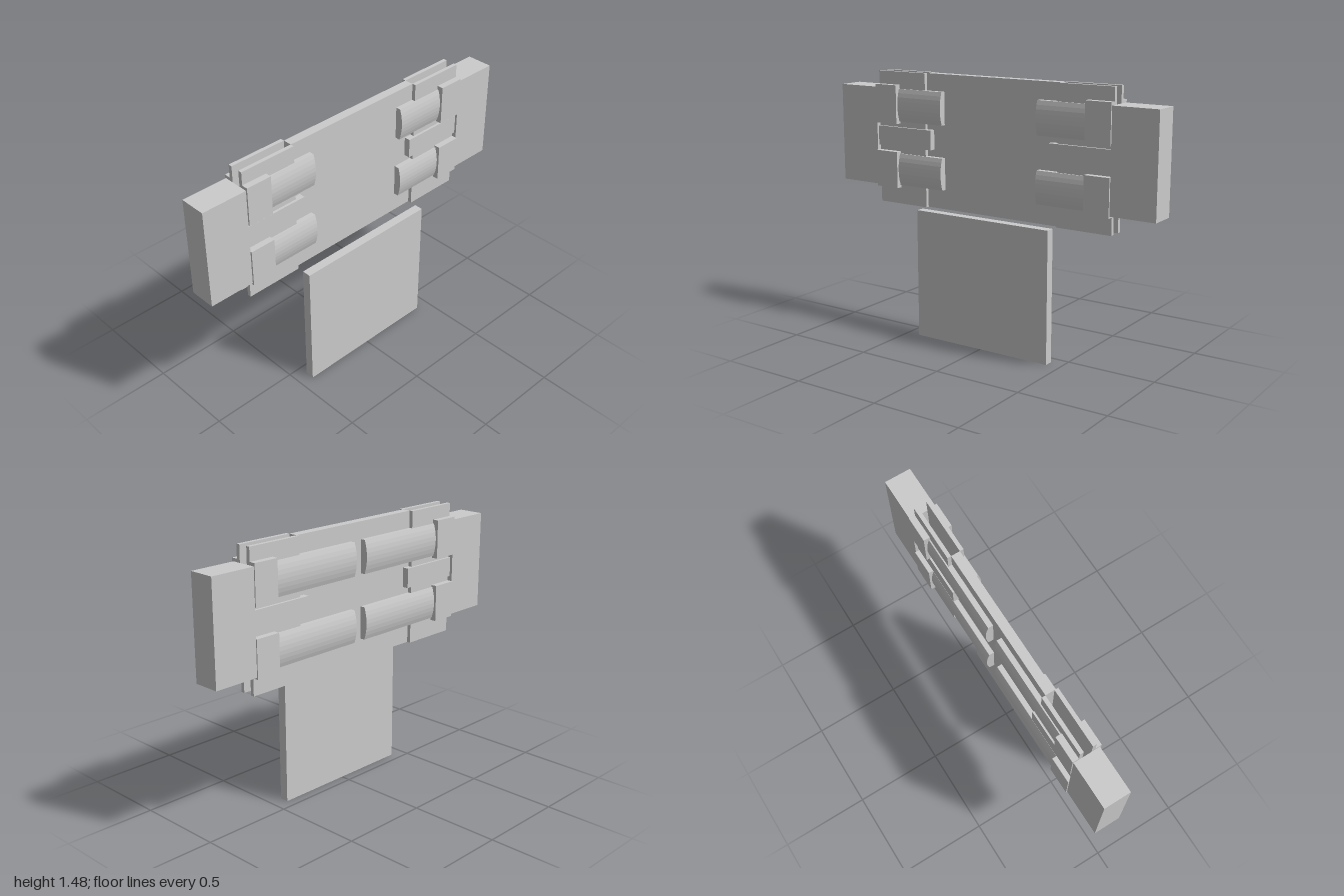
import * as THREE from 'three';

const MID = -0.025; // x of the centre plane of the plate assembly

export function createModel() {
  const model = new THREE.Group();
  const material = new THREE.MeshStandardMaterial({ color: 0xcccccc, flatShading: true });

  const add = (name, geometry) => {
    const mesh = new THREE.Mesh(geometry, material);
    mesh.name = name;
    model.add(mesh);
    return mesh;
  };

  // Box given by its limits along each axis
  const box = (name, x0, x1, y0, y1, z0, z1) => {
    const mesh = add(name, new THREE.BoxGeometry(Math.abs(x1 - x0), y1 - y0, Math.abs(z1 - z0)));
    mesh.position.set((x0 + x1) / 2, (y0 + y1) / 2, (z0 + z1) / 2);
  };

  // Pad with a gently bowed outer face, extruded along z
  const pad = (name, side, y0, y1, z0, z1) => {
    const x = (d) => MID + side * d;
    const shape = new THREE.Shape();
    shape.moveTo(x(0.025), y0);
    shape.lineTo(x(0.053), y0);
    shape.quadraticCurveTo(x(0.085), (y0 + y1) / 2, x(0.053), y1);
    shape.lineTo(x(0.025), y1);
    shape.closePath();
    const start = Math.min(z0, z1);
    const geometry = new THREE.ExtrudeGeometry(shape, {
      depth: Math.abs(z1 - z0), bevelEnabled: false, curveSegments: 8,
    });
    add(name, geometry).position.z = start;
  };

  // Central plate and the separate hanging panel
  box('mainPlate', -0.05, 0, 0.73, 1.48, -0.423, 0.423);
  box('hangingPanel', 0.055, 0.105, 0, 0.73, -0.423, 0.423);

  for (const end of [-1, 1]) {
    box('endBlock', -0.1, 0.047, 0.835, 1.39, end * 0.745, end);

    for (const side of [-1, 1]) {
      const x = (d) => MID + side * d;
      // Thin plates flanking the gap, with a narrow tab between the straps
      box('sidePlate', x(0.025), x(0.046), 0.73, 1.48, end * 0.423, end * 0.745);
      box('middleTab', x(0.025), x(0.06), 1.06, 1.17, end * 0.378, end * 0.745);

      // Straps and bowed pads, longer on the -x face
      const padStart = side > 0 ? 0.305 : 0.038;
      for (const [s0, s1, p0, p1] of [[0.825, 1.032, 0.84, 1.02], [1.19, 1.407, 1.202, 1.385]]) {
        box('strap', x(0.046), x(0.081), s0, s1, end * 0.6, end * 0.745);
        pad('bowedPad', side, p0, p1, end * padStart, end * 0.6);
      }
    }
  }
  return model;
}
